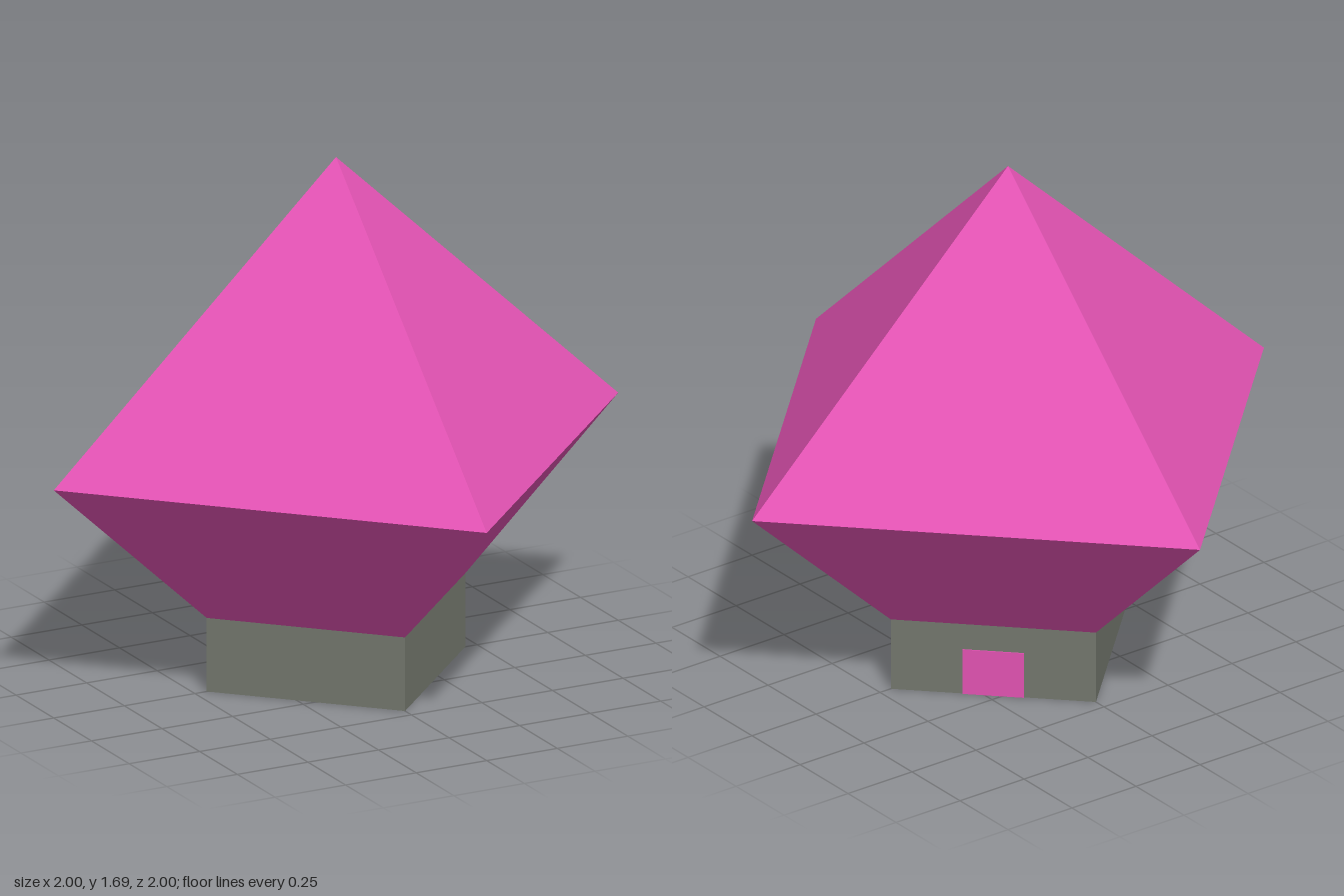
import * as THREE from 'three';

export function createModel() {
  const pink = new THREE.MeshStandardMaterial({ color: 0xe453b4, flatShading: true, side: THREE.DoubleSide });
  pink.name = 'pink';
  const grey = new THREE.MeshStandardMaterial({ color: 0x74786e, flatShading: true, side: THREE.DoubleSide });
  grey.name = 'grey';

  const model = new THREE.Group();
  model.name = 'crystalHouse';
  const add = (name, geometry, material) => {
    const mesh = new THREE.Mesh(geometry, material);
    mesh.name = name;
    model.add(mesh);
    return mesh;
  };

  const baseRadius = 0.458, baseHeight = 0.243;

  // Hollow four-sided crystal, cut off and open where it meets the base
  const profile = [[baseRadius, baseHeight], [1, 0.752], [0, 1.692]].map(([r, y]) => new THREE.Vector2(r, y));
  add('crystal', new THREE.LatheGeometry(profile, 4), pink);

  // Four walls of the base, open above and below
  add('base', new THREE.CylinderGeometry(baseRadius, baseRadius, baseHeight, 4, 1, true), grey)
    .position.y = baseHeight / 2;

  // Door plate in the middle of the back left wall
  const doorHeight = 0.155, offset = baseRadius / 2 + 0.001;
  const door = add('door', new THREE.BoxGeometry(0.195, doorHeight, 0.004), pink);
  door.position.set(offset, doorHeight / 2, -offset);
  door.rotation.y = Math.PI * 0.75;

  return model;
}
